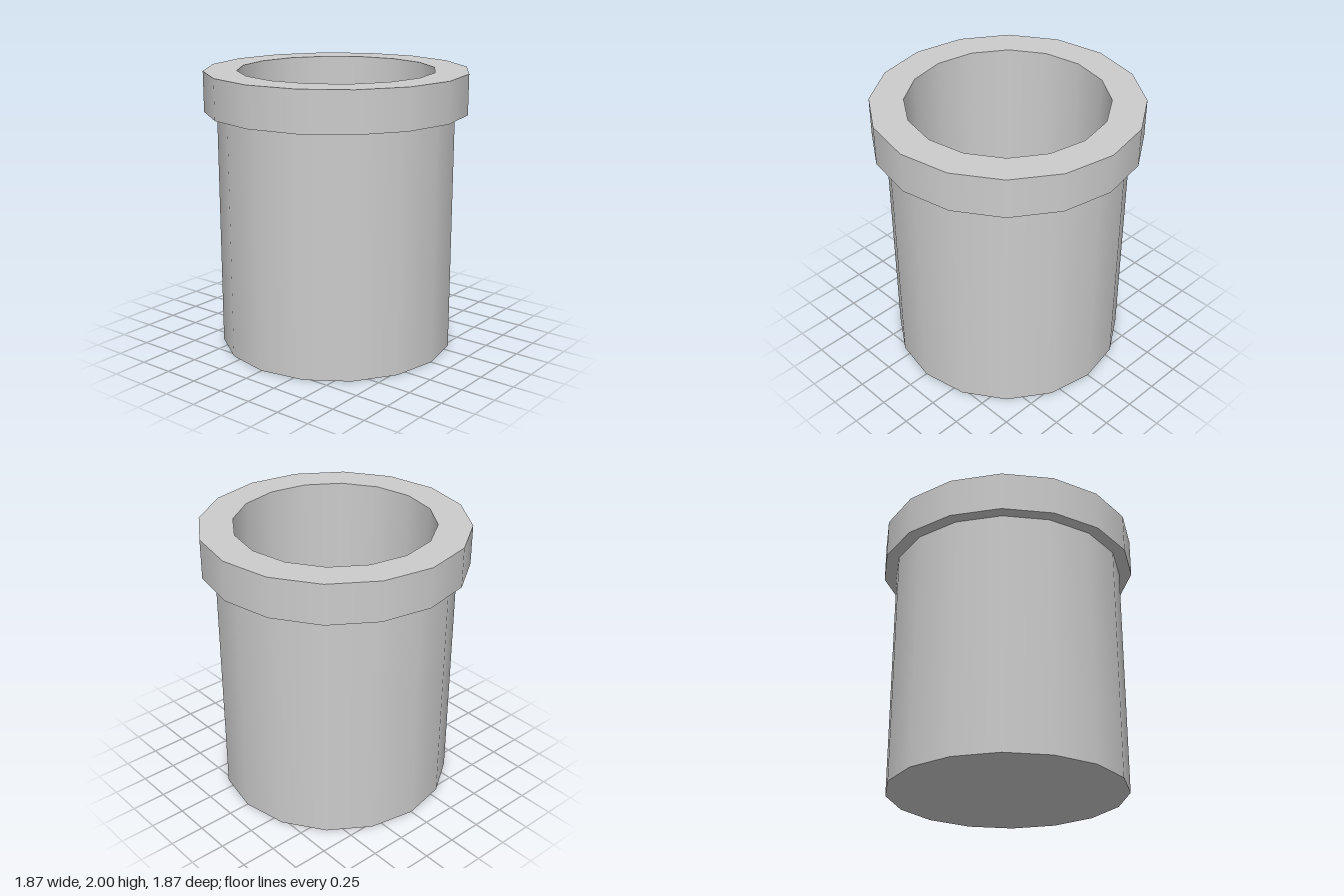
import * as THREE from 'three';
import { mergeGeometries } from 'three/addons/utils/BufferGeometryUtils.js';

const SIDES = 16;
const BODY_R = 0.845, RIM_R = 0.935, BORE_R = 0.7;
const TOP = 2, RIM_Y = 1.715, FLOOR_Y = 0.15;

// Revolves each profile segment separately: smooth around, sharp between segments.
function revolve(name, profile, material) {
  const bands = [];
  for (let i = 0; i < profile.length - 1; i++) {
    const pts = [profile[i], profile[i + 1]].map(([r, y]) => new THREE.Vector2(r, y));
    bands.push(new THREE.LatheGeometry(pts, SIDES));
  }
  const mesh = new THREE.Mesh(mergeGeometries(bands), material);
  mesh.name = name;
  return mesh;
}

export function createModel() {
  const group = new THREE.Group();
  group.name = 'pipe';
  const material = new THREE.MeshStandardMaterial({ color: 0xcccccc });

  // Closed base and outer wall
  group.add(revolve('body', [[0, 0], [BODY_R, 0], [BODY_R, RIM_Y]], material));
  // Overhanging collar: underside, outer band, top ring
  group.add(revolve('rim', [[BODY_R, RIM_Y], [RIM_R, RIM_Y], [RIM_R, TOP], [BORE_R, TOP]], material));
  // Hollow interior: inner wall and floor
  group.add(revolve('bore', [[BORE_R, TOP], [BORE_R, FLOOR_Y], [0, FLOOR_Y]], material));

  return group;
}
